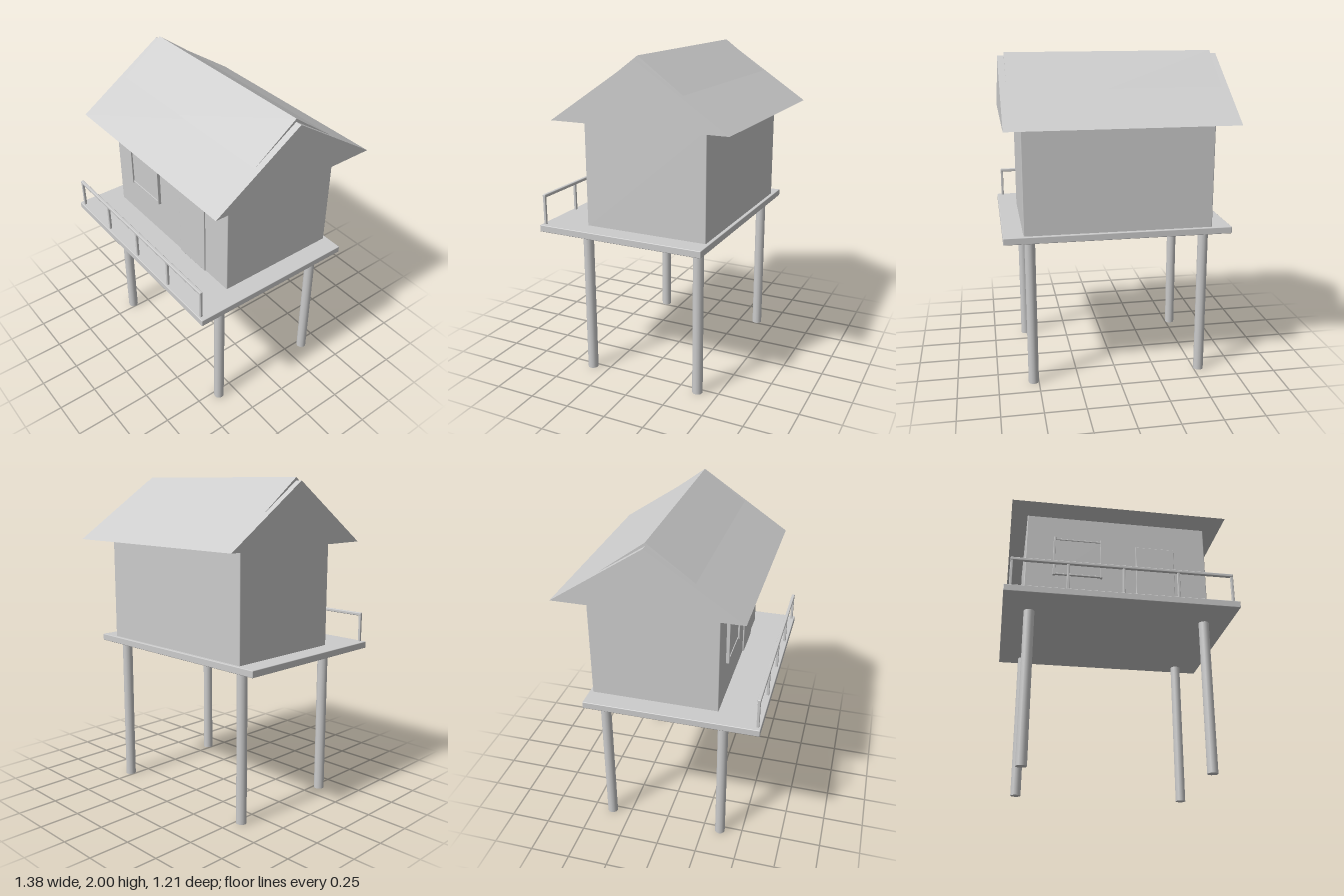
import * as THREE from 'three';
import { RoundedBoxGeometry } from 'three/addons/geometries/RoundedBoxGeometry.js';

export function createModel() {
  const model = new THREE.Group();
  model.name = 'stiltHouse';
  const grey = new THREE.MeshStandardMaterial({ color: 0xcccccc });
  grey.name = 'plainGrey';

  const add = (name, geometry, parent = model) => {
    const mesh = new THREE.Mesh(geometry, grey);
    mesh.name = name;
    parent.add(mesh);
    return mesh;
  };
  const addGroup = (name) => {
    const group = new THREE.Group();
    group.name = name;
    model.add(group);
    return group;
  };
  // Box given by its limits on each axis, with softly rounded edges
  const box = (name, [x0, x1], [y0, y1], [z0, z1], r = 0.003, parent = model) => {
    const mesh = add(name, new RoundedBoxGeometry(x1 - x0, y1 - y0, z1 - z0, 2, r), parent);
    mesh.position.set((x0 + x1) / 2, (y0 + y1) / 2, (z0 + z1) / 2);
    return mesh;
  };

  // Stilts
  const stilts = addGroup('stilts');
  for (const x of [-0.532, 0.532]) {
    for (const z of [0.36, -0.375]) {
      add('stilt', new THREE.CylinderGeometry(0.032, 0.032, 0.94, 12), stilts).position.set(x, 0.47, z);
    }
  }

  // Deck and house walls
  box('deck', [-0.69, 0.69], [0.93, 0.972], [-0.457, 0.602], 0.004);
  box('walls', [-0.57, 0.57], [0.965, 1.62], [-0.435, 0.337], 0.005);

  // Gable roof: a prism running along x, its ridge at z = -0.055
  const gable = (name, halfWidth, halfDepth, base, ridge) => {
    const shape = new THREE.Shape();
    shape.moveTo(-halfDepth, base);
    shape.lineTo(halfDepth, base);
    shape.lineTo(0, ridge);
    const geometry = new THREE.ExtrudeGeometry(shape, { depth: halfWidth * 2, bevelEnabled: false });
    geometry.translate(0, 0, -halfWidth).rotateY(Math.PI / 2);
    add(name, geometry).position.z = -0.055;
  };
  gable('roof', 0.672, 0.55, 1.615, 1.981);
  // Slightly steeper cap rising through the ridge
  gable('ridgeCap', 0.633, 0.5, 1.632, 2.0);

  // Door
  box('door', [0.12, 0.365], [0.972, 1.442], [0.33, 0.346]);

  // Window pane and frame
  const win = addGroup('window');
  box('pane', [-0.392, -0.1], [1.205, 1.453], [0.33, 0.346], 0.002, win);
  for (const x of [-0.393, -0.1]) {
    box('sideFrame', [x - 0.007, x + 0.007], [1.196, 1.465], [0.335, 0.357], 0.002, win);
  }
  for (const y of [1.206, 1.452]) {
    box('crossFrame', [-0.393, -0.1], [y - 0.005, y + 0.005], [0.335, 0.351], 0.002, win);
  }

  // Railing along the front edge
  const railing = addGroup('railing');
  box('handrail', [-0.661, 0.661], [1.137, 1.157], [0.573, 0.593], 0.005, railing);
  for (let i = -2; i <= 2; i++) {
    const x = i * 0.3265;
    box('railPost', [x - 0.008, x + 0.008], [0.965, 1.145], [0.575, 0.591], 0.003, railing);
  }

  return model;
}
